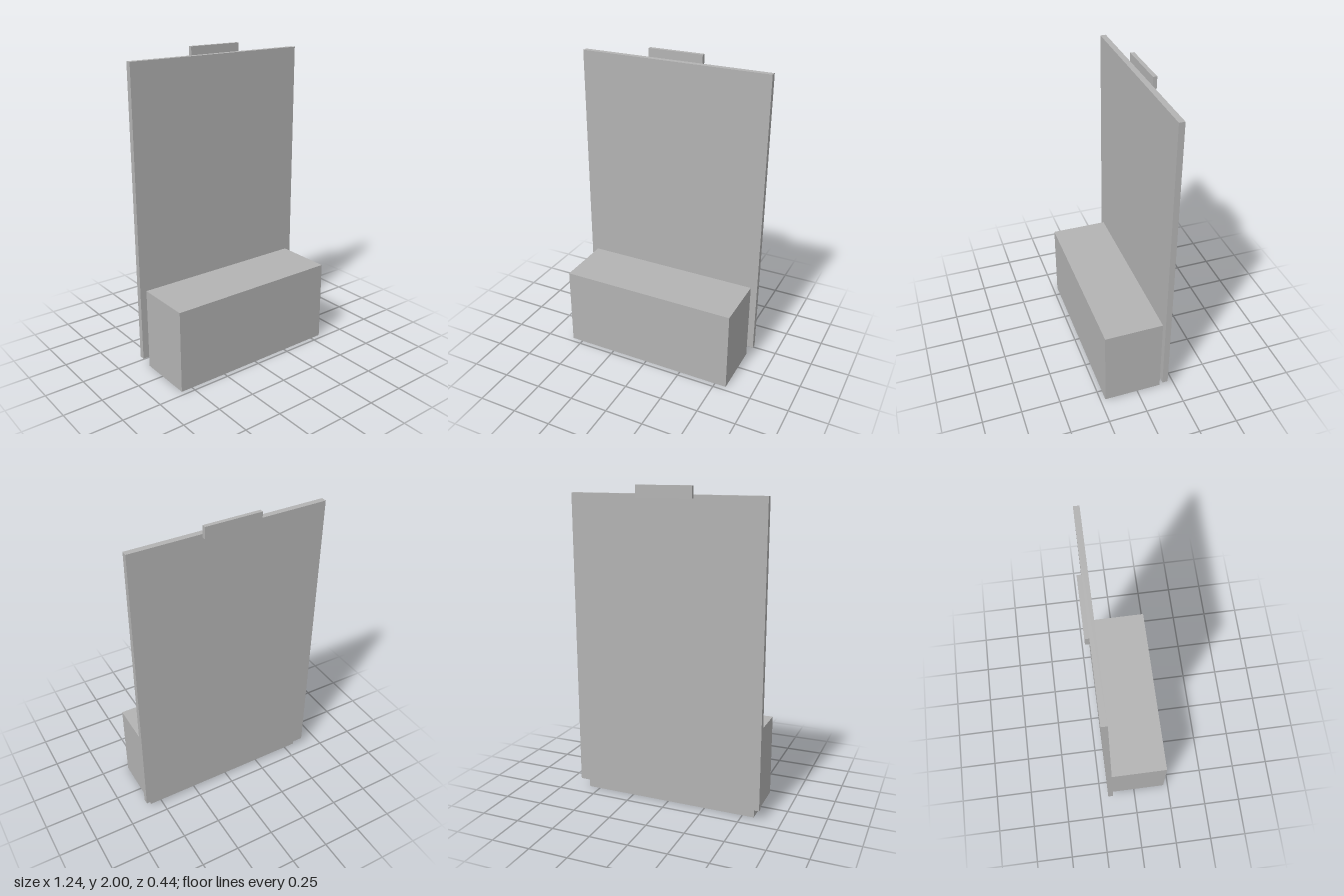
import * as THREE from 'three';

export function createModel() {
  const model = new THREE.Group();
  const grey = new THREE.MeshStandardMaterial({ color: 0xb3b3b3 });
  grey.name = 'grey';

  // Box centred on x, given its width and its y and z ranges
  function addBox(name, width, y0, y1, z0, z1) {
    const mesh = new THREE.Mesh(new THREE.BoxGeometry(width, y1 - y0, z1 - z0), grey);
    mesh.name = name;
    mesh.position.set(0, (y0 + y1) / 2, (z0 + z1) / 2);
    model.add(mesh);
  }

  // Planter-like base box in front of the panel
  addBox('baseBox', 1.15, 0, 0.533, -0.157, 0.218);
  // Tall thin back panel, raised off the ground
  addBox('backPanel', 1.235, 0.067, 1.948, -0.193, -0.157);
  // Small tab behind the panel's top edge
  addBox('topTab', 0.355, 1.928, 2, -0.218, -0.193);

  return model;
}
